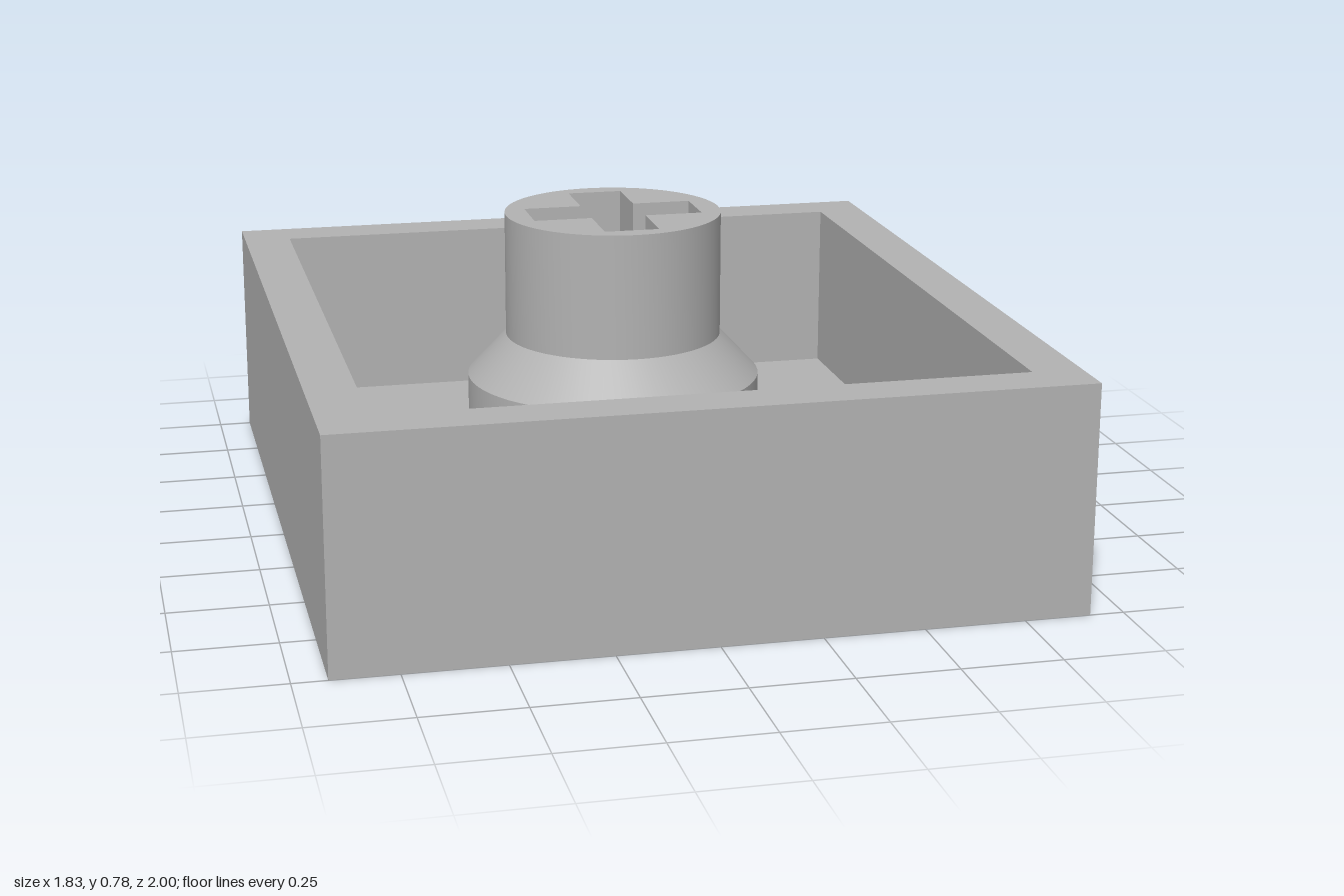
import * as THREE from 'three';
import { toCreasedNormals } from 'three/addons/utils/BufferGeometryUtils.js';

const HALF_W = 0.915, HALF_D = 1, HEIGHT = 0.58;
const IN_W = 0.79, IN_D = 0.875, FLOOR = 0.125;
const ENGRAVE = 0.055;
const STEM_Z = -0.167, STEM_R = 0.287, COLLAR_R = 0.39;
const COLLAR_TOP = 0.34, SHOULDER_TOP = 0.45, STEM_TOP = 0.78;

const rectPoints = (w, d) =>
  [[-w, -d], [w, -d], [w, d], [-w, d]].map(([x, y]) => new THREE.Vector2(x, y));

const circlePoints = (r, n = 64) =>
  Array.from({ length: n }, (_, i) => {
    const a = (i / n) * Math.PI * 2;
    return new THREE.Vector2(Math.cos(a) * r, Math.sin(a) * r);
  });

// Eight-toothed outline; each tooth is a list of [angle offset in degrees, radius]
function gearPoints(tooth) {
  const points = [];
  for (let k = 0; k < 8; k++) {
    for (const [offset, r] of tooth) {
      const a = THREE.MathUtils.degToRad(22.5 + 45 * k + offset);
      points.push(new THREE.Vector2(Math.cos(a) * r, Math.sin(a) * r));
    }
  }
  return points;
}

// Upright prism from y0 to y1 with optional holes
function prism(outline, holes, y0, y1) {
  const shape = new THREE.Shape(outline);
  shape.holes = holes.map((h) => new THREE.Path(h));
  const geo = new THREE.ExtrudeGeometry(shape, { depth: y1 - y0, bevelEnabled: false });
  geo.rotateX(-Math.PI / 2);
  geo.translate(0, y0, 0);
  return toCreasedNormals(geo, 0.3);
}

export function createModel() {
  const group = new THREE.Group();
  const grey = new THREE.MeshStandardMaterial({ color: 0xb2b2b2 });
  grey.name = 'plain grey';

  const add = (name, geo, z = 0) => {
    const mesh = new THREE.Mesh(geo, grey);
    mesh.name = name;
    mesh.position.z = z;
    group.add(mesh);
  };

  // Tray: outer walls and floor
  add('outerWalls', prism(rectPoints(HALF_W, HALF_D), [rectPoints(IN_W, IN_D)], 0, HEIGHT));
  add('floor', prism(rectPoints(IN_W, IN_D), [], ENGRAVE, FLOOR));

  // Underside with a gear-shaped groove and a ring groove cut into it
  const gearOuter = gearPoints([
    [-19, 0.53], [-16.5, 0.56], [-13.5, 0.63], [-7, 0.64], [0, 0.643],
    [7, 0.64], [13.5, 0.63], [16.5, 0.56], [19, 0.53],
  ]);
  const gearInner = gearPoints([
    [-13, 0.42], [-10, 0.45], [-7.5, 0.51], [0, 0.52],
    [7.5, 0.51], [10, 0.45], [13, 0.42], [22.5, 0.405],
  ]);
  add('undersidePlate', prism(rectPoints(IN_W, IN_D), [gearOuter], 0, ENGRAVE));
  add('gearIsland', prism(gearInner, [circlePoints(0.3)], 0, ENGRAVE));
  add('hubIsland', prism(circlePoints(0.16), [], 0, ENGRAVE));

  // Collar with a chamfered shoulder, and its solid core
  const collar = new THREE.LatheGeometry([
    new THREE.Vector2(COLLAR_R, FLOOR),
    new THREE.Vector2(COLLAR_R, COLLAR_TOP),
    new THREE.Vector2(STEM_R, SHOULDER_TOP),
  ], 64);
  add('collar', toCreasedNormals(collar, 0.3), STEM_Z);
  const core = new THREE.CylinderGeometry(STEM_R, STEM_R, COLLAR_TOP - FLOOR, 64);
  core.translate(0, (COLLAR_TOP + FLOOR) / 2, 0);
  add('collarCore', core, STEM_Z);

  // Stem with a cross-shaped socket
  const t = 0.072, armX = 0.225, armZ = 0.233;
  const cross = [
    [t, t], [t, armZ], [-t, armZ], [-t, t], [-armX, t], [-armX, -t],
    [-t, -t], [-t, -armZ], [t, -armZ], [t, -t], [armX, -t], [armX, t],
  ].map(([x, y]) => new THREE.Vector2(x, y));
  add('stem', prism(circlePoints(STEM_R), [cross], COLLAR_TOP, STEM_TOP), STEM_Z);

  return group;
}
